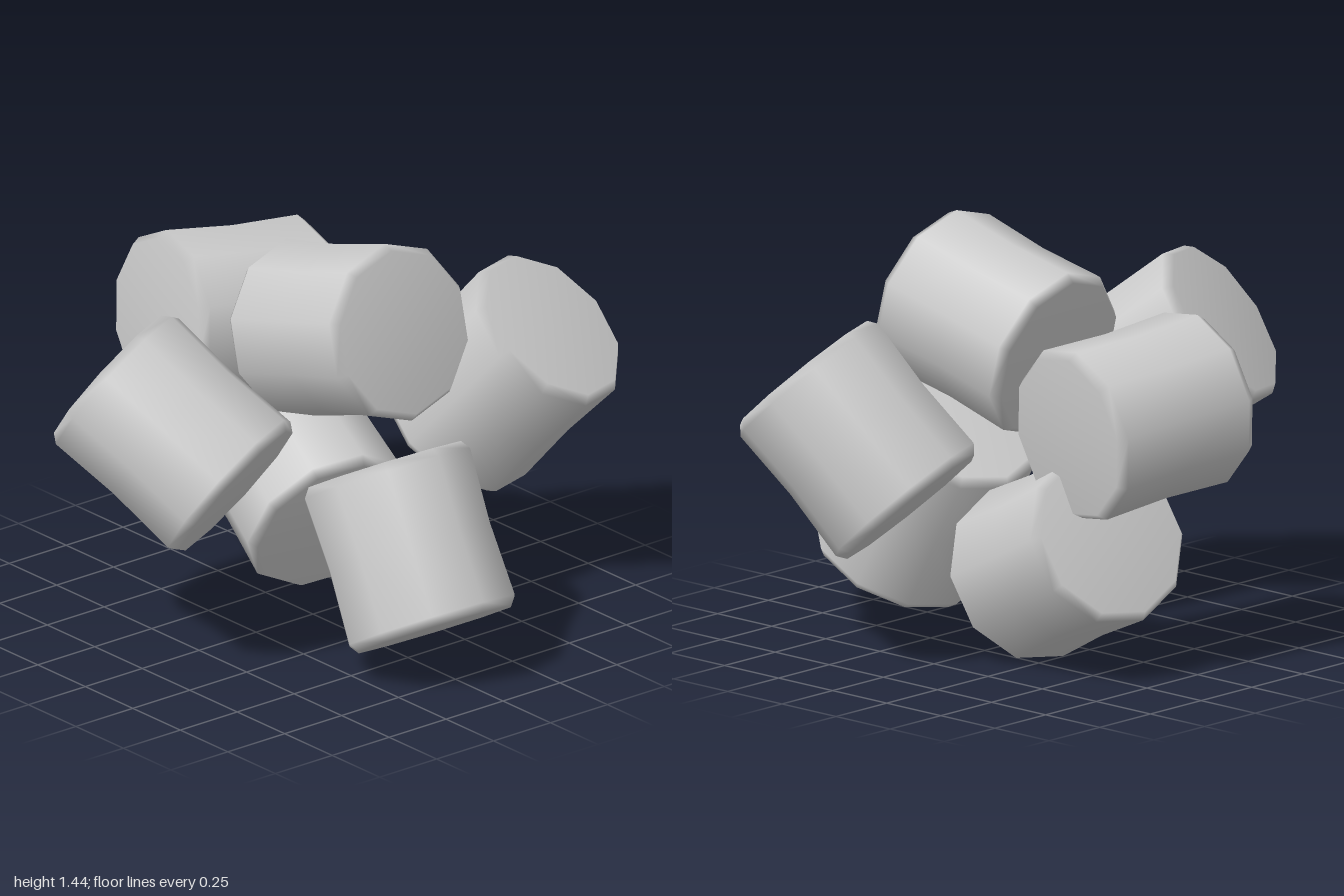
import * as THREE from 'three';

// One soft ten-sided drum: flat ends, rounded rims, slight waist
const HALF = 0.29;
function drumGeometry() {
  const profile = [
    [0, -HALF], [0.282, -HALF], [0.306, -0.258], [0.296, 0],
    [0.306, 0.258], [0.282, HALF], [0, HALF],
  ].map(([r, y]) => new THREE.Vector2(r, y));
  return new THREE.LatheGeometry(profile, 10);
}

export function createModel() {
  const group = new THREE.Group();
  group.name = 'drumPile';
  const grey = new THREE.MeshStandardMaterial({ color: 0xcccccc });
  grey.name = 'paleGrey';
  const geometry = drumGeometry();
  const up = new THREE.Vector3(0, 1, 0);

  // Each drum: name, centre, direction of its axis
  const drums = [
    ['topDrum', [0.033, 1.07, 0.15], [0.03, 0.26, 0.96]],
    ['frontDrum', [-0.017, 0.41, 0.53], [0.03, 0.87, -0.49]],
    ['rightDrum', [-0.635, 0.83, 0.025], [-0.33, 0.58, -0.74]],
    ['leftDrum', [0.655, 0.765, 0.21], [0.24, 0.74, 0.63]],
    ['lowerBackDrum', [0.205, 0.375, -0.335], [0.18, 0.43, -0.885]],
    ['upperBackDrum', [0.12, 0.885, -0.575], [0.98, -0.1, 0.16]],
  ];
  for (const [name, centre, axis] of drums) {
    const drum = new THREE.Mesh(geometry, grey);
    drum.name = name;
    drum.position.set(...centre);
    drum.quaternion.setFromUnitVectors(up, new THREE.Vector3(...axis).normalize());
    group.add(drum);
  }
  return group;
}
